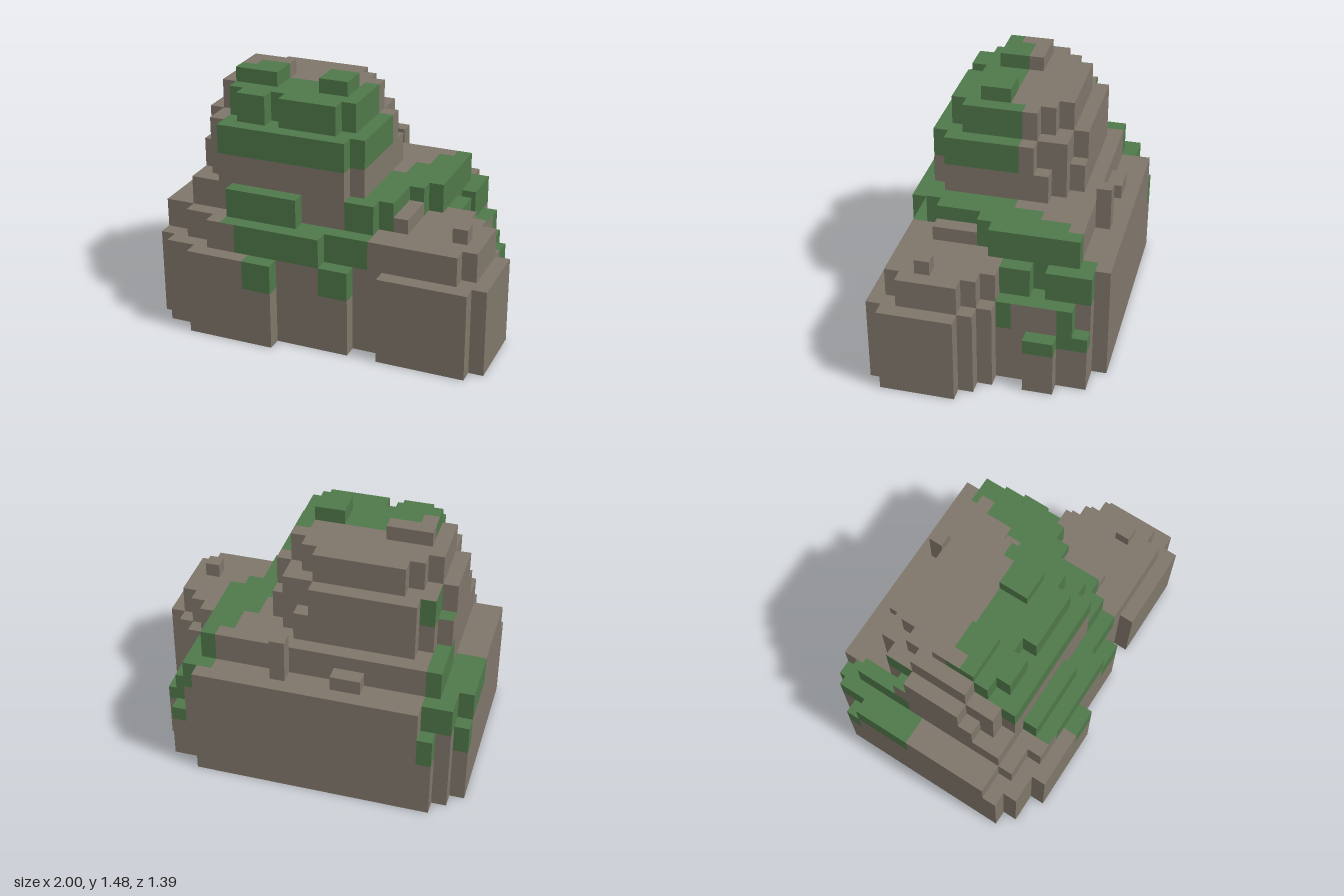
import * as THREE from 'three';

const NX = 23, NZ = 16, CELL = 2 / 23;

// Height field in cells, filled by stacking stepped blocks
function buildHeights() {
  const heights = new Map();
  const at = (x, z) => heights.get(x + z * NX) ?? 0;
  const carve = (x, z, h) => heights.set(x + z * NX, h);

  // Block from (x0, z0) up to (x1, z1), with staircase cuts at its corners
  const block = (h, x0, x1, z0, z1, { bl = 0, br = 0, fl = 0, fr = 0 } = {}) => {
    for (let x = x0; x < x1; x++) {
      for (let z = z0; z < z1; z++) {
        const l = x - x0, r = x1 - 1 - x, b = z - z0, f = z1 - 1 - z;
        if (l + b < bl || r + b < br || l + f < fl || r + f < fr) continue;
        carve(x, z, Math.max(h, at(x, z)));
      }
    }
  };

  // low ledges on the side
  block(4, 19, 20, 1, 2);
  block(4, 20, 21, 3, 5);

  // base
  block(6, 0, 20, 0, 7, { bl: 2, br: 2 });
  block(6, 0, 23, 7, 14, { br: 2 });
  block(6, 1, 14, 14, 15);
  block(6, 16, 22, 14, 15);
  block(6, 3, 9, 15, 16);

  // broad shoulder
  block(8, 3, 18, 0, 1);
  block(8, 0, 19, 1, 13, { bl: 1 });
  block(8, 14, 22, 7, 14, { br: 2, fr: 1 });
  block(8, 2, 14, 13, 14);
  block(8, 4, 12, 14, 15);
  carve(0, 2, 6);
  carve(18, 4, 6);

  // ridge
  block(10, 2, 18, 2, 9, { fr: 1 });
  block(10, 2, 16, 9, 13, { fr: 1 });
  block(10, 5, 10, 13, 14);

  // loose stones and the post stone
  block(9, 16, 17, 9, 12);
  block(9, 20, 21, 11, 12);
  block(9, 7, 9, 1, 2);
  block(11, 12, 13, 1, 2);

  // peak, with small ledges
  block(14, 2, 14, 3, 13, { bl: 2, br: 2, fl: 2, fr: 1 });
  for (const [x, z] of [[11, 3], [2, 5], [13, 5], [2, 10]]) carve(x, z, 12);

  // summit, with a notch in front and two stones on top
  block(16, 3, 13, 4, 12, { bl: 2, br: 2, fl: 2, fr: 1 });
  carve(7, 11, 14);
  block(17, 4, 7, 7, 10);
  block(17, 10, 12, 8, 10);

  return at;
}

// Outer limit of the moss, following the stepped edge of the ridge
const mossLimit = (z) => (z < 8 ? 18 : 17 - Math.ceil((z - 8) / 3));

function mossyTop(x, z) {
  if (x < 3 && z < 7) return z < 6 || x < 2; // back corner
  if (z < 7) return x >= 17 - Math.floor((z - 1) / 2); // far side
  if (z === 7) return x >= 12 && x < mossLimit(z);
  const start = z === 15 ? 7 : z > 8 && z < 13 ? 4 : 5;
  return x >= start && x < mossLimit(z);
}

// Cells where moss hangs down the base wall
const DRIPS = [[7, 15], [8, 15], [12, 14], [13, 14], [2, 0], [0, 2], [19, 2], [19, 6]];

function mossySide(x, y, z) {
  // peak and summit
  if (y >= 12) {
    return (x >= 4 && z >= (y === 16 ? 8 : 7)) || (x < 4 && (z === 4 || z === 5) && y < 14);
  }
  if (y >= 10) return false;
  // ridge
  if (y >= 8) {
    return (x < 3 && z < 6) || z === 13 || (x >= 13 && x + z > 18 && x < mossLimit(z));
  }
  // shoulder
  if (y >= 6) {
    return (x < 3 && z < 7) || (z >= 13 && x >= 6 && x < 15) || (x >= 17 && z >= 1 && z < 7);
  }
  if (y >= 4) return DRIPS.some(([dx, dz]) => dx === x && dz === z);
  // low ledges
  return y === 3 && x >= 19 && z < 5;
}

function shellGeometry(quads) {
  const pos = [];
  for (const q of quads) {
    for (const n of [0, 1, 2, 0, 2, 3]) {
      const [x, y, z] = q[n];
      pos.push((x - NX / 2) * CELL, y * CELL, (z - NZ / 2) * CELL);
    }
  }
  const g = new THREE.BufferGeometry();
  g.setAttribute('position', new THREE.Float32BufferAttribute(pos, 3));
  g.computeVertexNormals();
  return g;
}

export function createModel() {
  const heightAt = buildHeights();
  const inside = (x, z) => x >= 0 && x < NX && z >= 0 && z < NZ;
  const rock = [], moss = [];

  // Open-bottomed shell of tops and exposed side faces
  for (let x = 0; x < NX; x++) {
    for (let z = 0; z < NZ; z++) {
      const h = heightAt(x, z);
      if (!h) continue;
      const X = x + 1, Z = z + 1;
      (mossyTop(x, z) ? moss : rock).push([[x, h, z], [x, h, Z], [X, h, Z], [X, h, z]]);

      // neighbour cell, then the two bottom corners as seen from outside
      const sides = [
        [x, Z, [x, Z], [X, Z]], [x, z - 1, [X, z], [x, z]],
        [X, z, [X, Z], [X, z]], [x - 1, z, [x, z], [x, Z]],
      ];
      for (const [nx, nz, a, b] of sides) {
        for (let y = inside(nx, nz) ? heightAt(nx, nz) : 0; y < h; y++) {
          (mossySide(x, y, z) ? moss : rock).push([
            [a[0], y, a[1]], [b[0], y, b[1]], [b[0], y + 1, b[1]], [a[0], y + 1, a[1]],
          ]);
        }
      }
    }
  }

  const stone = new THREE.MeshStandardMaterial({ color: 0x7f766a, side: THREE.DoubleSide });
  stone.name = 'stone';
  const green = new THREE.MeshStandardMaterial({ color: 0x50784a, side: THREE.DoubleSide });
  green.name = 'mossGreen';

  const group = new THREE.Group();
  group.name = 'mossyRock';
  for (const [name, quads, material] of [['rock', rock, stone], ['moss', moss, green]]) {
    const mesh = new THREE.Mesh(shellGeometry(quads), material);
    mesh.name = name;
    group.add(mesh);
  }
  return group;
}
